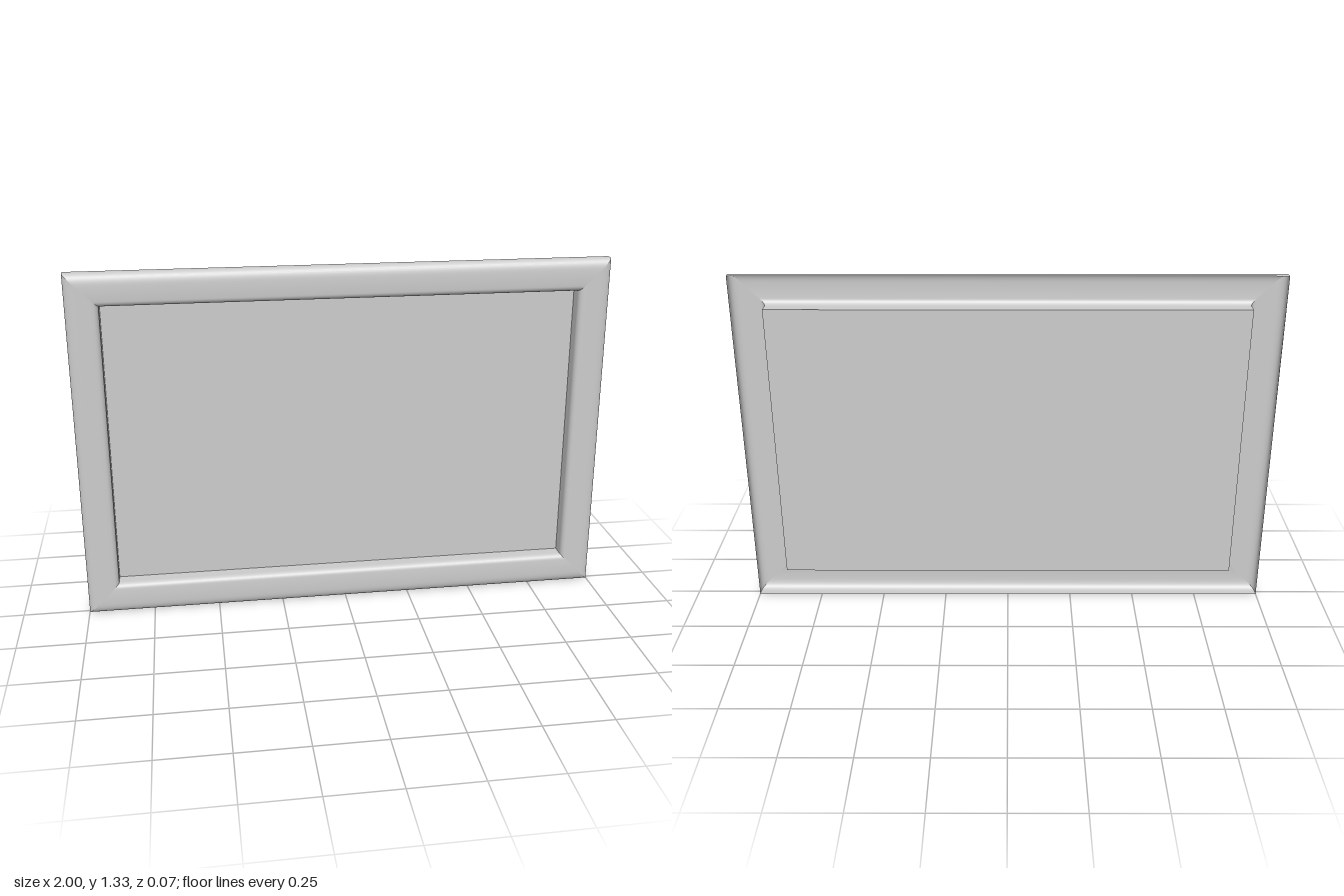
import * as THREE from 'three';

const W = 2, H = 1.325, INSET = 0.12; // outer size and moulding width
const BACK = -0.034, FRONT = 0.034, RIM = -0.019;

// Moulding profile: x = distance in from the outer edge, y = depth
function mouldingProfile() {
  const path = new THREE.Path();
  path.moveTo(0, RIM);
  path.lineTo(0, 0.004);
  path.bezierCurveTo(0, 0.021, 0.012, 0.031, 0.034, 0.033);
  path.quadraticCurveTo(0.065, FRONT + 0.001, 0.1, 0.032);
  path.bezierCurveTo(0.11, 0.031, INSET, 0.024, INSET, 0.008);
  path.lineTo(INSET, BACK);
  return path.getPoints(8);
}

// One mitred side, running from corner a to corner b (counter-clockwise)
function mouldingSide(profile, a, b) {
  const positions = [], index = [];
  profile.forEach((p, i) => {
    for (const [sx, sy] of [a, b]) {
      positions.push(sx * (W / 2 - p.x), H / 2 + sy * (H / 2 - p.x), p.y);
    }
    if (i > 0) {
      const k = 2 * (i - 1);
      index.push(k, k + 1, k + 3, k, k + 3, k + 2);
    }
  });
  const geometry = new THREE.BufferGeometry();
  geometry.setAttribute('position', new THREE.Float32BufferAttribute(positions, 3));
  geometry.setIndex(index);
  geometry.computeVertexNormals();
  return geometry;
}

export function createModel() {
  const group = new THREE.Group();
  group.name = 'framedPanel';
  const grey = new THREE.MeshStandardMaterial({ color: 0xcccccc, side: THREE.DoubleSide });
  grey.name = 'lightGrey';

  // Hollow rounded frame, open at the back
  const frame = new THREE.Group();
  frame.name = 'frame';
  const profile = mouldingProfile();
  const corners = [[-1, -1], [1, -1], [1, 1], [-1, 1]];
  ['bottomRail', 'leftRail', 'topRail', 'rightRail'].forEach((name, i) => {
    const rail = new THREE.Mesh(mouldingSide(profile, corners[i], corners[(i + 1) % 4]), grey);
    rail.name = name;
    frame.add(rail);
  });
  group.add(frame);

  // Recessed flat panel closing the inner walls
  const panel = new THREE.Mesh(new THREE.PlaneGeometry(W - 2 * INSET, H - 2 * INSET), grey);
  panel.name = 'panel';
  panel.position.set(0, H / 2, BACK);
  group.add(panel);

  return group;
}
